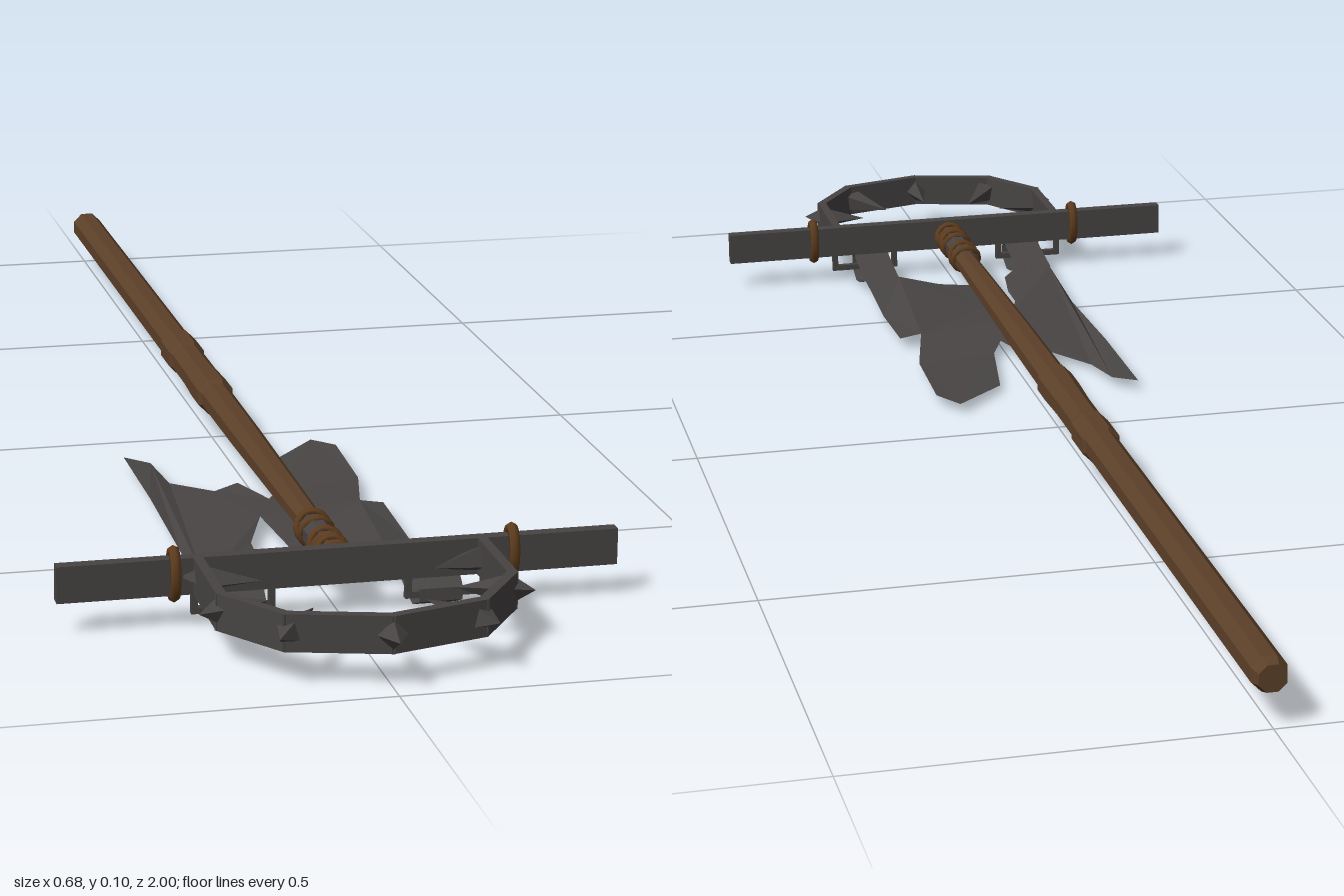
import * as THREE from 'three';

const wood = new THREE.MeshStandardMaterial({ name: 'wood', color: 0x5c4029, flatShading: true });
const rope = new THREE.MeshStandardMaterial({ name: 'rope', color: 0x5f3d1e });
const iron = new THREE.MeshStandardMaterial({ name: 'iron', color: 0x474343, flatShading: true });
const cloth = new THREE.MeshStandardMaterial({
  name: 'cloth', color: 0x494545, flatShading: true, side: THREE.DoubleSide,
});

const AXIS_Y = 0.063; // height of the shaft and headpiece

function add(parent, name, geometry, material, x = 0, y = 0, z = 0) {
  const mesh = new THREE.Mesh(geometry, material);
  mesh.name = name;
  mesh.position.set(x, y, z);
  parent.add(mesh);
  return mesh;
}

// Eight-sided turned piece lying along z, from [radius, z] pairs
function turned(profile) {
  const points = profile.map(([r, z]) => new THREE.Vector2(r, z));
  return new THREE.LatheGeometry(points, 8, Math.PI / 8).rotateX(Math.PI / 2);
}

// Flat plate standing upright between two plan points
function plate(parent, name, [x0, z0], [x1, z1], height, thick) {
  const length = Math.hypot(x1 - x0, z1 - z0) + thick * 0.6;
  const mesh = add(parent, name, new THREE.BoxGeometry(length, height, thick), iron,
    (x0 + x1) / 2, AXIS_Y, (z0 + z1) / 2);
  mesh.rotation.y = -Math.atan2(z1 - z0, x1 - x0);
}

// Four-sided double point: long inside the hoop, short outside
function spike(parent, [x, z], [tipX, tipZ]) {
  const group = new THREE.Group();
  group.name = 'spike';
  const inner = Math.hypot(tipX - x, tipZ - z);
  const outer = 0.03;
  add(group, 'innerPoint', new THREE.ConeGeometry(0.018, inner, 4), iron, 0, inner / 2);
  add(group, 'outerPoint', new THREE.ConeGeometry(0.018, outer, 4).rotateX(Math.PI), iron, 0, -outer / 2);
  group.position.set(x, AXIS_Y, z);
  group.quaternion.setFromUnitVectors(new THREE.Vector3(0, 1, 0),
    new THREE.Vector3(tipX - x, 0, tipZ - z).normalize());
  parent.add(group);
}

// Cloth strip of constant width following [y, z] points
function ribbon(path, x0, x1) {
  const geometry = new THREE.PlaneGeometry(1, 1, 1, path.length - 1);
  const pos = geometry.attributes.position;
  path.forEach(([y, z], i) => {
    pos.setXYZ(i * 2, x0, y, z);
    pos.setXYZ(i * 2 + 1, x1, y, z);
  });
  geometry.computeVertexNormals();
  return geometry;
}

// Height of the sagging, wrinkled cloth at a plan position
function clothHeight(x, z) {
  if (z > 0.63) return 0.023;
  return 0.015 + 0.004 * Math.sin(x * 45 + z * 9) + 0.004 * Math.cos(z * 16);
}

export function createModel() {
  const model = new THREE.Group();
  model.name = 'bannerStaff';

  // Shaft, tapering towards the head
  add(model, 'shaft', turned([
    [0, -1], [0.018, -1], [0.023, -0.985], [0.023, -0.25], [0.022, 0],
    [0.021, 0.2], [0.018, 0.45], [0.016, 0.6], [0.016, 0.72], [0, 0.72],
  ]), wood, 0.002, AXIS_Y);

  // Grip with a raised band at each end
  add(model, 'grip', turned([
    [0.022, -0.245], [0.027, -0.24], [0.027, -0.18], [0.024, -0.17],
    [0.024, -0.09], [0.026, -0.03], [0.026, 0.015], [0.021, 0.025],
  ]), wood, 0.002, AXIS_Y);

  // Iron socket and rope lashing
  add(model, 'socket', turned([[0, 0.57], [0.017, 0.575], [0.019, 0.6], [0.018, 0.72], [0, 0.72]]),
    iron, 0, AXIS_Y);
  [0.585, 0.605, 0.652, 0.668, 0.684, 0.7].forEach((z, i) => {
    const ring = add(model, 'shaftLashing', new THREE.TorusGeometry(0.019, 0.005, 6, 14), rope, 0, AXIS_Y, z);
    ring.rotation.x = i % 2 ? 0.2 : -0.2;
  });

  // Crossbar and the rope ties near its ends
  add(model, 'crossbar', new THREE.BoxGeometry(0.68, 0.045, 0.016), iron, 0, AXIS_Y, 0.724);
  for (const x of [-0.2, 0.21]) {
    const tie = new THREE.TorusGeometry(0.028, 0.007, 6, 18).rotateY(Math.PI / 2).scale(1, 1, 0.55);
    add(model, 'crossbarTie', tie, rope, x, 0.065, 0.724);
  }

  // Angular hoop of iron plates
  const half = [[0.172, 0.725], [0.172, 0.855], [0.115, 0.935], [0, 0.966]];
  for (const side of [-1, 1]) {
    for (let i = 0; i < half.length - 1; i++) {
      const [a, b] = [half[i], half[i + 1]].map(([x, z]) => [x * side, z]);
      plate(model, 'hoopPlate', a, b, 0.045, 0.012);
    }
    spike(model, [0.165 * side, 0.74], [0.103 * side, 0.764]);
    spike(model, [0.17 * side, 0.852], [0.11 * side, 0.832]);
    spike(model, [0.111 * side, 0.935], [0.066 * side, 0.865]);
  }
  spike(model, [0, 0.97], [0, 0.895]);

  // Wire brackets below the crossbar, with cloth loops around them
  for (const side of [-1, 1]) {
    const [inner, outer] = [0.083 * side, 0.176 * side];
    for (const x of [inner, outer]) {
      add(model, 'bracketLeg', new THREE.BoxGeometry(0.008, 0.03, 0.008), iron, x, 0.03, 0.726);
    }
    add(model, 'bracketRail', new THREE.BoxGeometry(0.101, 0.008, 0.008), iron,
      (inner + outer) / 2, 0.019, 0.726);
    add(model, 'bannerLoop', ribbon([
      [0.023, 0.64], [0.034, 0.71], [0.04, 0.73], [0.03, 0.742],
      [0.014, 0.742], [0.001, 0.712], [0.006, 0.685], [0.023, 0.635],
    ], 0.093 * side, 0.146 * side), cloth);
  }

  // Torn banner, outlined in plan and then wrinkled
  const outline = [
    [-0.145, 0.116], [-0.114, 0.143], [-0.103, 0.217], [-0.055, 0.275], [-0.02, 0.255],
    [0.005, 0.33], [0.024, 0.29], [0.045, 0.16], [0.119, 0.085], [0.145, 0.122],
    [0.14, 0.264], [0.114, 0.375], [0.145, 0.375], [0.145, 0.5], [0.145, 0.645],
    [0.092, 0.645], [0.034, 0.62], [-0.025, 0.62], [-0.01, 0.5], [-0.025, 0.41],
    [-0.057, 0.5], [-0.06, 0.56], [-0.071, 0.63], [-0.092, 0.645], [-0.145, 0.645],
    [-0.145, 0.5], [-0.145, 0.3],
  ];
  const shape = new THREE.Shape(outline.map(([x, z]) => new THREE.Vector2(x, z)));
  const banner = new THREE.ShapeGeometry(shape).rotateX(Math.PI / 2);
  const pos = banner.attributes.position;
  for (let i = 0; i < pos.count; i++) pos.setY(i, clothHeight(pos.getX(i), pos.getZ(i)));
  banner.computeVertexNormals();
  add(model, 'banner', banner, cloth);

  return model;
}
